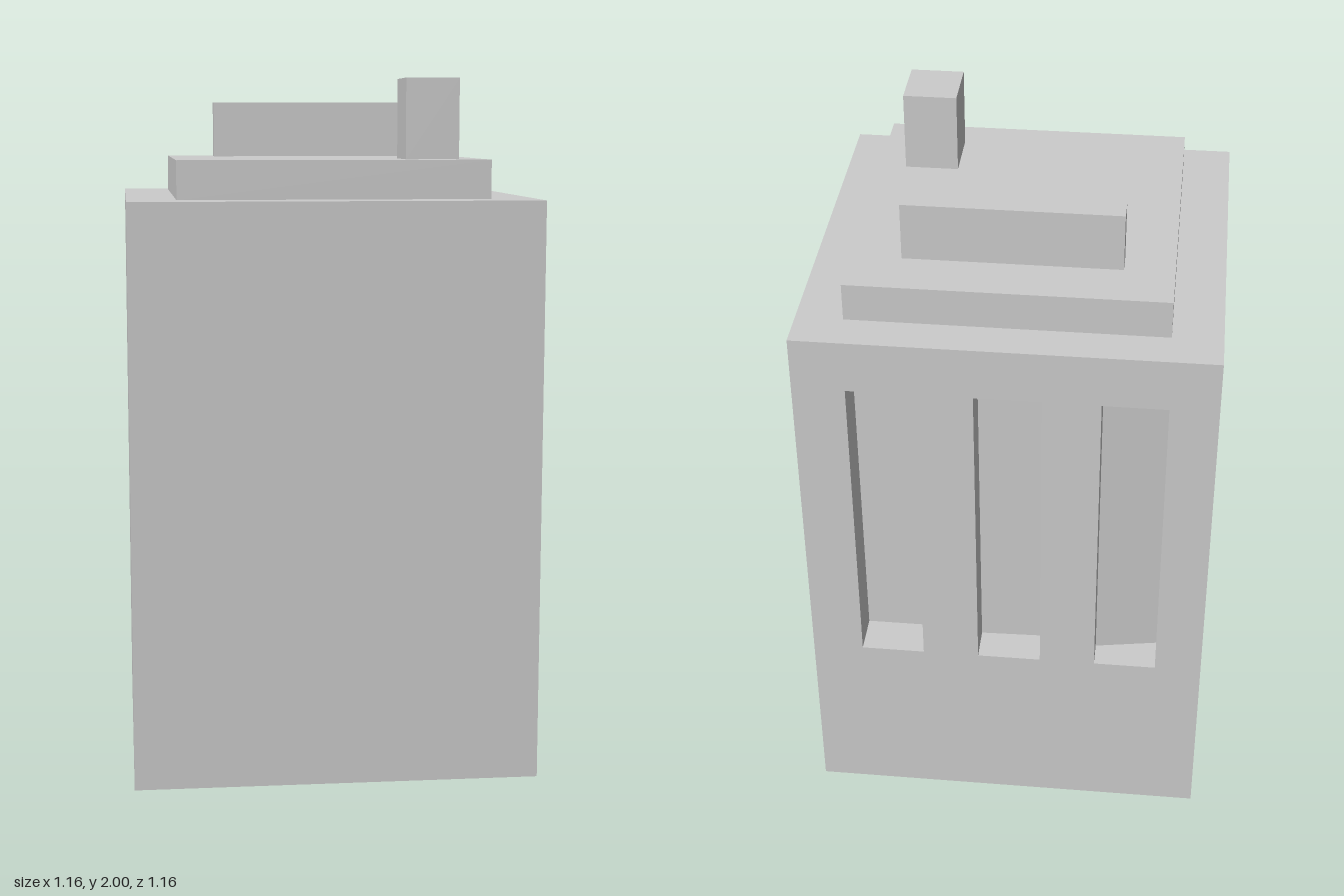
import * as THREE from 'three';

const material = new THREE.MeshStandardMaterial({ color: 0xcccccc, flatShading: true });

// Box geometry from its minimum and maximum corners
function boxBetween([x0, y0, z0], [x1, y1, z1]) {
  return new THREE.BoxGeometry(x1 - x0, y1 - y0, z1 - z0)
    .translate((x0 + x1) / 2, (y0 + y1) / 2, (z0 + z1) / 2);
}

// Drops the -z face, which is the last of the six box faces
function openBack(geometry) {
  geometry.setIndex(Array.from(geometry.index.array).slice(0, 30));
  geometry.clearGroups();
  return geometry;
}

// Turns a geometry inside out so its inner walls show
function insideOut(geometry) {
  geometry.setIndex(Array.from(geometry.index.array).reverse());
  geometry.computeVertexNormals();
  return geometry;
}

export function createModel() {
  const model = new THREE.Group();
  const add = (name, geometry) => {
    const mesh = new THREE.Mesh(geometry, material);
    mesh.name = name;
    model.add(mesh);
  };

  const half = 0.58, bodyTop = 1.66, lidTop = 1.77;
  const slotBottom = 0.555, slotTop = 1.505;
  // Each slot: x range and the depth at either end
  const slots = [
    { x0: 0.247, x1: 0.432, d0: 0.118, d1: 0.118 },
    { x0: -0.102, x1: 0.083, d0: 0.105, d1: 0.1 },
    { x0: -0.445, x1: -0.264, d0: 0.108, d1: 0.077 },
  ];

  // Body shell, open at the back
  add('body', openBack(boxBetween([-half, 0, -half], [half, bodyTop, half])));

  // Back panel pierced by the slots, drawn mirrored and turned to face -z
  const rectangle = (path, x0, y0, x1, y1) =>
    path.moveTo(x0, y0).lineTo(x1, y0).lineTo(x1, y1).lineTo(x0, y1).closePath();
  const panel = new THREE.Shape();
  rectangle(panel, -half, 0, half, bodyTop);
  for (const { x0, x1 } of slots) {
    const hole = new THREE.Path();
    rectangle(hole, -x1, slotBottom, -x0, slotTop);
    panel.holes.push(hole);
  }
  add('backPanel', new THREE.ShapeGeometry(panel).rotateY(Math.PI).translate(0, 0, -half));

  // Slot recesses
  slots.forEach(({ x0, x1, d0, d1 }, i) => {
    const recess = openBack(boxBetween([x0, slotBottom, -half], [x1, slotTop, -half + 0.1]));
    const p = recess.attributes.position;
    for (let v = 0; v < p.count; v++) {
      if (p.getZ(v) > -half + 0.05) p.setZ(v, -half + (p.getX(v) < (x0 + x1) / 2 ? d0 : d1));
    }
    add(`ventSlot${i + 1}`, insideOut(recess));
  });

  // Stepped lid with a rear rail and a front post
  add('lid', boxBetween([-0.44, bodyTop, -0.465], [0.448, lidTop, 0.455]));
  add('rearRail', boxBetween([-0.3, lidTop, -0.315], [0.307, 1.937, -0.25]));
  add('frontPost', boxBetween([0.217, lidTop, 0.192], [0.371, 2, 0.362]));

  return model;
}
